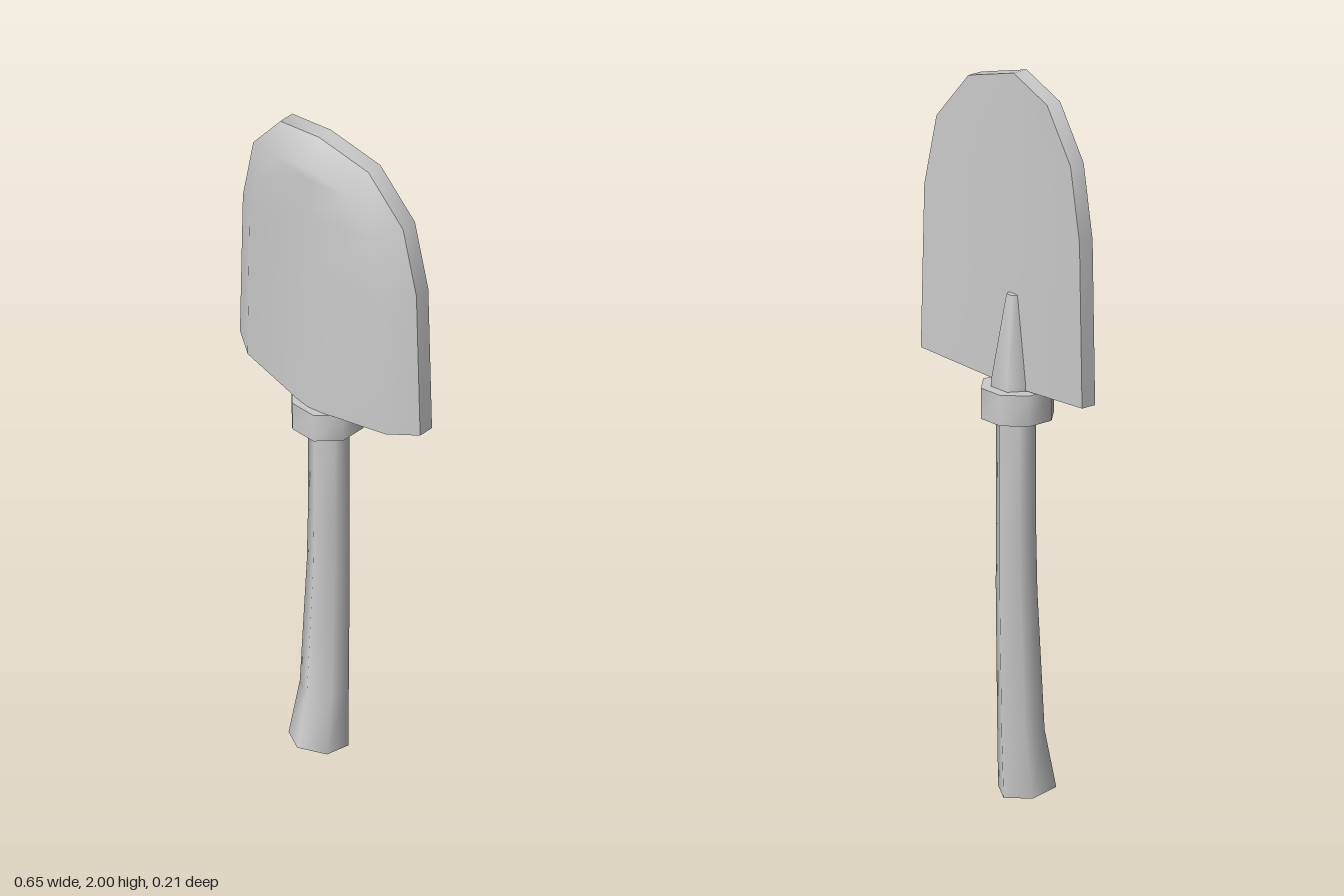
import * as THREE from 'three';
import { toCreasedNormals } from 'three/addons/utils/BufferGeometryUtils.js';

const material = new THREE.MeshStandardMaterial({ color: 0xcccccc });

// Skin a stack of rings (bottom to top, counter-clockwise from above) and cap both ends.
function loft(name, rings, crease) {
  const n = rings[0].length;
  const index = [];
  for (let i = 0; i < rings.length - 1; i++) {
    for (let j = 0; j < n; j++) {
      const k = (j + 1) % n;
      const a = i * n + j, b = i * n + k;
      index.push(a, b, b + n, a, b + n, a + n);
    }
  }
  const top = (rings.length - 1) * n;
  for (let j = 1; j < n - 1; j++) {
    index.push(0, j + 1, j);
    index.push(top, top + j, top + j + 1);
  }
  const geometry = new THREE.BufferGeometry();
  geometry.setAttribute('position', new THREE.Float32BufferAttribute(rings.flat(2), 3));
  geometry.setIndex(index);
  const mesh = new THREE.Mesh(toCreasedNormals(geometry, crease), material);
  mesh.name = name;
  return mesh;
}

// Regular polygon ring centred on (0, y, z), tilted so the front sits higher.
function ring(sides, radius, y, z, phase = 0, tilt = 0) {
  return Array.from({ length: sides }, (_, i) => {
    const t = phase + (i / sides) * Math.PI * 2;
    const dz = radius * Math.cos(t);
    return [radius * Math.sin(t), y + tilt * dz, z + dz];
  });
}

// Blade cross-section: V-shaped back, thin rim, bevel up to a raised V-shaped front.
function bladeSection([x, y, insetX, insetY, centreY = y, insetCentreY = insetY]) {
  const bend = (px) => -0.128 * px;
  const back = -0.025 + bend(x), rim = 0.02 + bend(x), front = 0.064 - 0.138 * insetX;
  return [
    [0, centreY, -0.025],
    [-x, y, back], [-x, y, rim], [-insetX, insetY, front],
    [0, insetCentreY, 0.064],
    [insetX, insetY, front], [x, y, rim], [x, y, back],
  ];
}

export function createModel() {
  const model = new THREE.Group();
  model.name = 'shovel';

  // Hexagonal handle, bowed forward and flared at the grip end
  model.add(loft('handle', [
    ring(6, 0.081, 0.0146, 0.0215, 0, 0.18),
    ring(6, 0.066, 0.18, 0.0, 0, 0.1),
    ring(6, 0.058, 0.57, -0.015, 0, 0.03),
    ring(6, 0.056, 0.75, -0.017),
    ring(6, 0.056, 1.1, -0.017),
  ], 1.2));

  // Octagonal collar joining handle and blade
  model.add(loft('collar', [
    ring(8, 0.1007, 1.05, -0.012, Math.PI / 8),
    ring(8, 0.1007, 1.135, -0.012, Math.PI / 8),
  ], 0.8));

  // Tapered socket running up the back of the blade
  model.add(loft('socket', [
    ring(6, 0.066, 1.12, -0.018, Math.PI / 6),
    ring(6, 0.066, 1.15, -0.018, Math.PI / 6),
    ring(6, 0.02, 1.39, -0.024, Math.PI / 6),
  ], 1.1));

  // Blade rows: rim x, rim y, raised-face x, raised-face y, optional centre heights
  model.add(loft('blade', [
    [0.327, 1.165, 0.25, 1.157, 1.13, 1.13],
    [0.315, 1.62, 0.243, 1.6],
    [0.272, 1.82, 0.212, 1.77],
    [0.16, 1.957, 0.128, 1.885],
    [0, 2, 0, 1.92],
  ].map(bladeSection), 0.75));

  return model;
}
